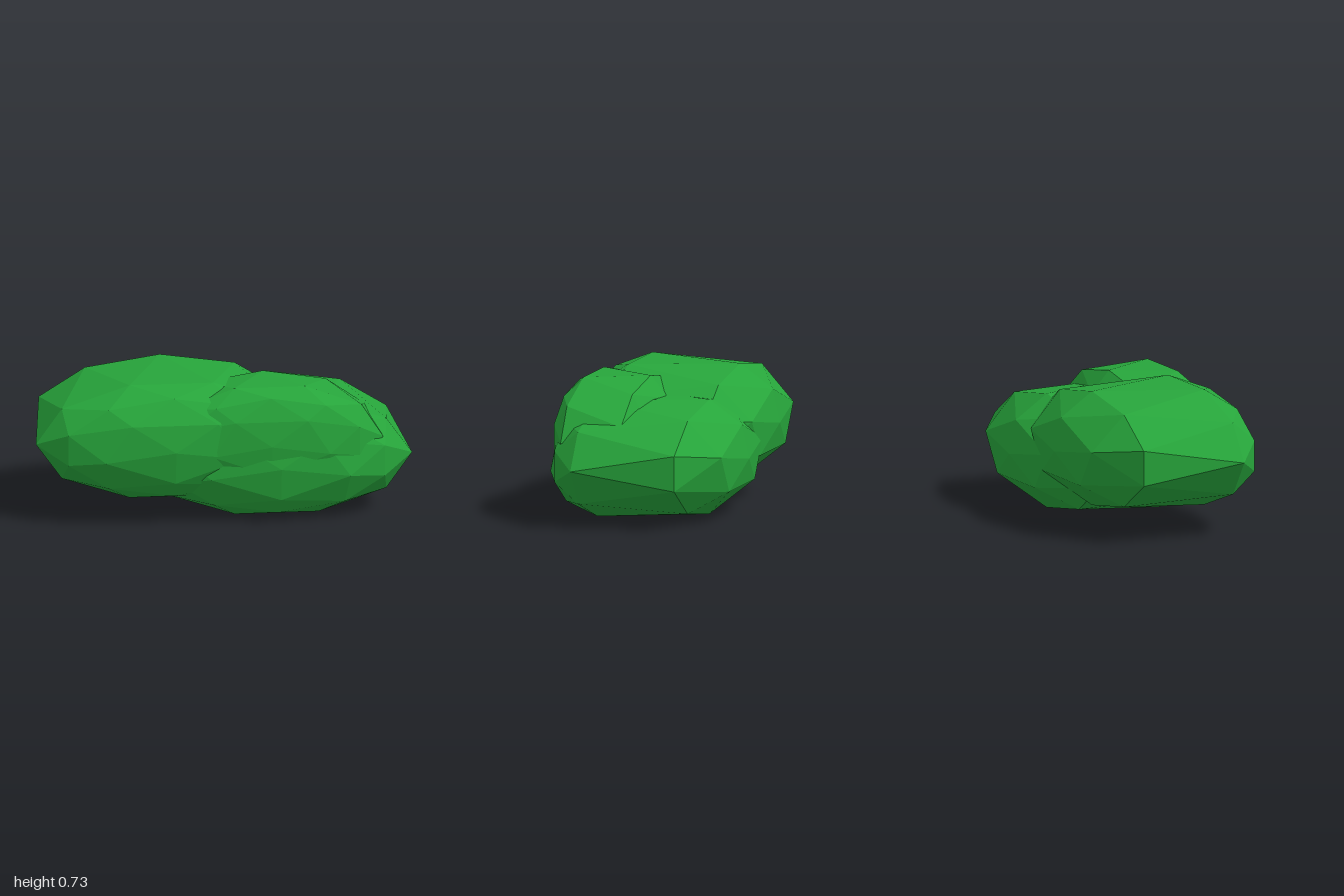
import * as THREE from 'three';
import { ConvexGeometry } from 'three/addons/geometries/ConvexGeometry.js';

// Rings of one faceted clump, front to back: z, radius, sides, start angle in degrees
const RINGS = [
  [0.505, 0, 1, 0],
  [0.475, 0.54, 5, 54],
  [0.395, 0.82, 10, 18],
  [0.26, 1, 10, 0],
  [-0.29, 0.94, 10, 18],
  [-0.47, 0.55, 5, 18],
  [-0.51, 0, 1, 0],
];

function clumpGeometry(rx, ry, depth) {
  const points = [];
  for (const [z, r, sides, start] of RINGS) {
    for (let i = 0; i < sides; i++) {
      const a = THREE.MathUtils.degToRad(start + (i * 360) / sides);
      points.push(new THREE.Vector3(Math.cos(a) * r * rx, Math.sin(a) * r * ry, z * depth));
    }
  }
  return new ConvexGeometry(points);
}

export function createModel() {
  const group = new THREE.Group();
  group.name = 'bush';

  const leafGreen = new THREE.MeshStandardMaterial({ color: 0x27a53b, flatShading: true });
  leafGreen.name = 'leafGreen';

  // name, half width, half height, depth factor, centre
  const clumps = [
    ['rightClump', 0.72, 0.326, 1, [-0.28, 0.42, 0]],
    ['leftClump', 0.72, 0.326, 1, [0.28, 0.31, 0]],
    ['frontClump', 0.605, 0.306, 0.57, [0.23, 0.435, 0.215]],
  ];
  for (const [name, rx, ry, depth, centre] of clumps) {
    const mesh = new THREE.Mesh(clumpGeometry(rx, ry, depth), leafGreen);
    mesh.name = name;
    mesh.position.set(...centre);
    group.add(mesh);
  }
  return group;
}
